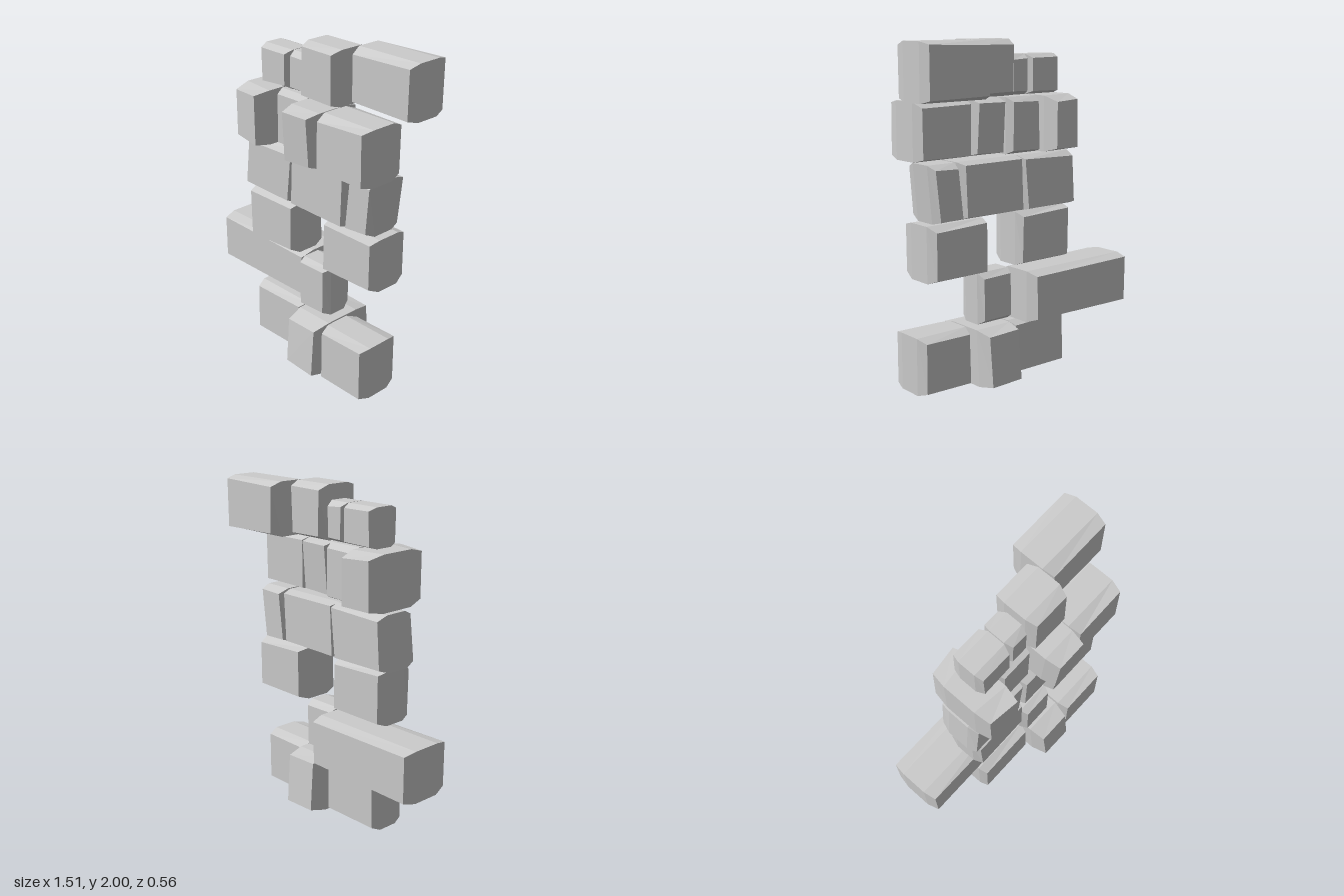
import * as THREE from 'three';

// small seeded generator for the hand-cut irregularity of the stones
function seeded(seed) {
  let s = seed;
  return () => (s = (s * 16807) % 2147483647) / 2147483647;
}

// A cut stone: four rectangular sections from back to front, the end ones inset as bevels.
// lean shifts the bottom in x, flare thickens the bottom in z, skew thickens the +x side in z.
function stoneGeometry([x0, x1, y0, y1, z0, z1], { lean = 0, flare = 0, skew = 0 }, rand) {
  const bevel = (z1 - z0) * 0.24;
  const sections = [[z0, 1], [z0 + bevel, 0], [z1 - bevel, 0], [z1, 1]];
  const corners = [[0, 0], [1, 0], [1, 1], [0, 1]];
  const zMid = (z0 + z1) / 2;
  const pos = [], index = [];
  for (const [z, inset] of sections) {
    for (const [cx, cy] of corners) {
      const dx = inset * (0.012 + 0.01 * rand());
      const dy = inset * (0.014 + 0.018 * rand());
      const grow = (1 - cy) * flare + cx * skew;
      pos.push(
        (cx ? x1 - dx : x0 + dx) + (1 - cy) * lean,
        cy ? y1 - dy : y0 + dy,
        z + Math.sign(z - zMid) * grow
      );
    }
  }
  for (let s = 0; s < 3; s++) {
    for (let i = 0; i < 4; i++) {
      const a = s * 4 + i, b = s * 4 + (i + 1) % 4;
      index.push(a, b, b + 4, a, b + 4, a + 4);
    }
  }
  index.push(0, 2, 1, 0, 3, 2, 12, 13, 14, 12, 14, 15);
  const geo = new THREE.BufferGeometry();
  geo.setAttribute('position', new THREE.Float32BufferAttribute(pos, 3));
  geo.setIndex(index);
  const flat = geo.toNonIndexed();
  flat.computeVertexNormals();
  return flat;
}

// courses from the ground up; each stone: [x0, x1, z0, z1, options]
const courses = [
  { y: [0, 0.34], stones: [
    [-0.37, 0.04, -0.13, 0.11],
    [0.05, 0.3, -0.21, 0.23, { flare: 0.025 }],
    [0.31, 0.655, -0.08, 0.21],
  ] },
  { y: [0.35, 0.66], stones: [
    [-0.76, 0, -0.28, 0.05],
    [0.02, 0.25, -0.1, 0.11],
  ] },
  { y: [0.67, 0.995], stones: [
    [-0.41, -0.02, -0.13, 0.12],
    [0.24, 0.63, -0.155, 0.13],
  ] },
  { y: [1, 1.33], stones: [
    [-0.42, -0.02, -0.15, 0.12, { lean: -0.025 }],
    [-0.03, 0.415, -0.14, 0.13, { lean: -0.01 }],
    [0.43, 0.615, -0.14, 0.12, { lean: -0.03 }],
  ] },
  { y: [1.34, 1.67], stones: [
    [-0.41, -0.19, -0.205, 0.21, { skew: 0.025 }],
    [-0.18, 0.05, -0.12, 0.1],
    [0.06, 0.28, -0.1, 0.28, { flare: -0.02 }],
    [0.285, 0.65, -0.07, 0.23],
  ] },
  { y: [1.68, 2], stones: [
    [-0.32, -0.095, -0.12, 0.09, { top: 1.91 }],
    [-0.09, 0.045, -0.115, 0.08, { top: 1.91 }],
    [0.045, 0.31, -0.155, 0.12],
    [0.315, 0.75, -0.28, 0],
  ] },
];

export function createModel() {
  const model = new THREE.Group();
  model.name = 'stoneWall';
  const material = new THREE.MeshStandardMaterial({ color: 0xcccccc, flatShading: true });
  const rand = seeded(4711);
  courses.forEach(({ y: [y0, y1], stones }, row) => {
    const course = new THREE.Group();
    course.name = `course${row + 1}`;
    stones.forEach(([x0, x1, z0, z1, options = {}], i) => {
      const box = [x0, x1, y0, options.top ?? y1, z0, z1];
      const stone = new THREE.Mesh(stoneGeometry(box, options, rand), material);
      stone.name = `stone${row + 1}_${i + 1}`;
      course.add(stone);
    });
    model.add(course);
  });
  return model;
}
